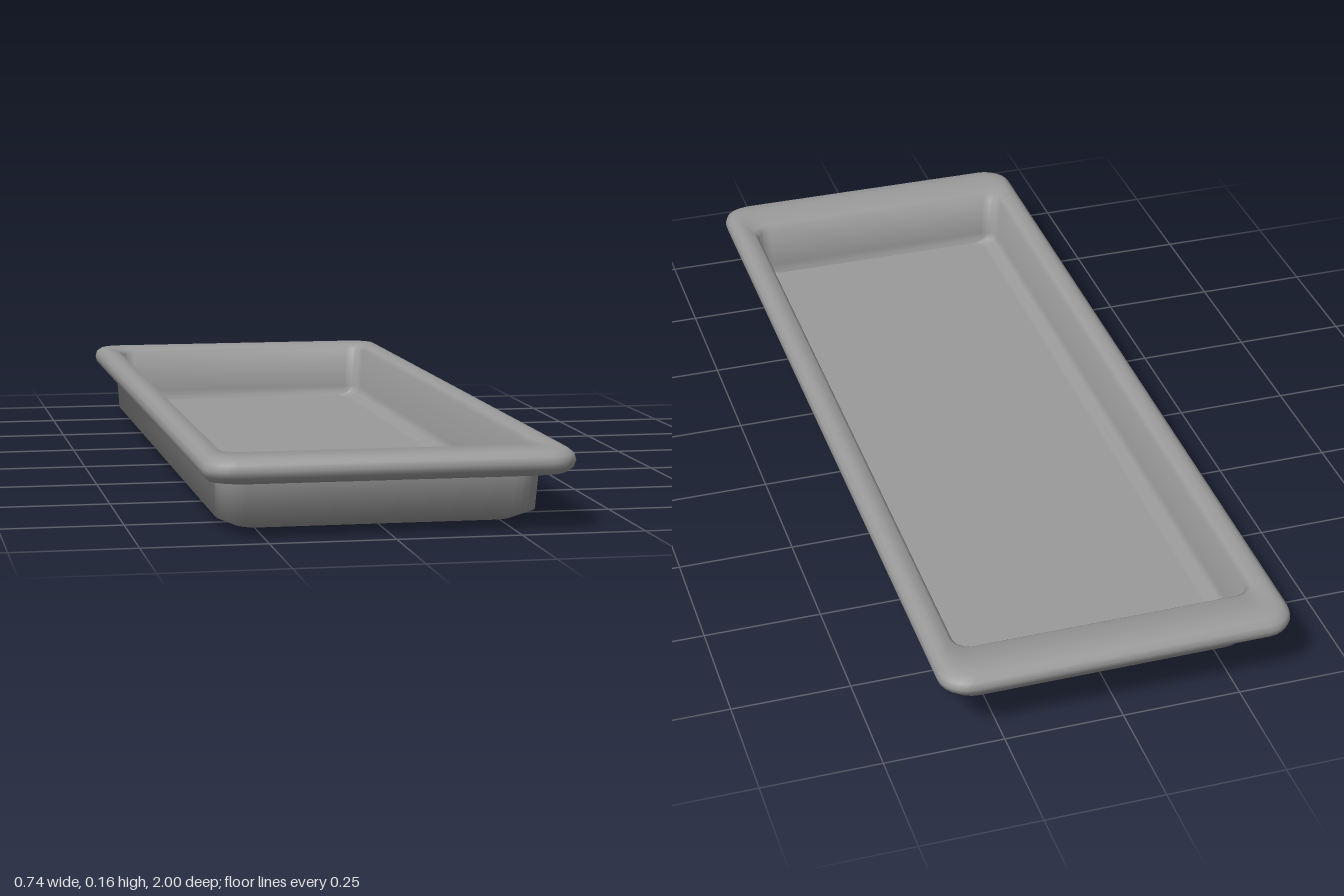
import * as THREE from 'three';
import { toCreasedNormals } from 'three/addons/utils/BufferGeometryUtils.js';

const CORNER_STEPS = 6;

// Rounded rectangle loop: half width, half length, height, corner radius, z offset
function ring([hx, hz, y, r, z0 = 0]) {
  const points = [];
  const corners = [[1, 1], [-1, 1], [-1, -1], [1, -1]];
  corners.forEach(([sx, sz], q) => {
    for (let i = 0; i <= CORNER_STEPS; i++) {
      const a = (q + i / CORNER_STEPS) * Math.PI / 2;
      points.push([sx * (hx - r) + r * Math.cos(a), y, z0 + sz * (hz - r) + r * Math.sin(a)]);
    }
  });
  return points;
}

// Skin a list of loops; the first and last shrink to a point to close the surface
function loft(sections, crease) {
  const rings = sections.map(ring);
  const n = rings[0].length;
  const pos = [];
  for (let i = 0; i < rings.length - 1; i++) {
    for (let j = 0; j < n; j++) {
      const k = (j + 1) % n;
      const a = rings[i][j], b = rings[i][k], c = rings[i + 1][j], d = rings[i + 1][k];
      if (i > 0) pos.push(...a, ...c, ...b);
      if (i < rings.length - 2) pos.push(...b, ...c, ...d);
    }
  }
  const g = new THREE.BufferGeometry();
  g.setAttribute('position', new THREE.Float32BufferAttribute(pos, 3));
  g.computeVertexNormals();
  return toCreasedNormals(g, crease);
}

export function createModel() {
  const group = new THREE.Group();
  group.name = 'tray';
  const material = new THREE.MeshStandardMaterial({ color: 0x9b9b9b });

  const sections = [
    // flat underside
    [0, 0, 0, 0, -0.005],
    [0.275, 0.82, 0, 0.04, -0.005],
    // sloping bottom edge
    [0.285, 0.83, 0, 0.045, -0.005],
    [0.325, 0.874, 0.021, 0.06, -0.005],
    // outer wall
    [0.33, 0.884, 0.104, 0.06, -0.005],
    // overhanging lip: underside, rolled edge, top
    [0.34, 0.95, 0.108, 0.06],
    [0.358, 0.982, 0.114, 0.06],
    [0.369, 0.996, 0.126, 0.06],
    [0.372, 1, 0.139, 0.06],
    [0.369, 0.996, 0.152, 0.06],
    [0.358, 0.982, 0.161, 0.055],
    [0.345, 0.955, 0.163, 0.05],
    [0.322, 0.885, 0.16, 0.04, -0.008],
    // inner wall
    [0.313, 0.87, 0.15, 0.035, -0.01],
    [0.308, 0.868, 0.055, 0.035, -0.01],
    // softened foot of the long sides
    [0.3, 0.867, 0.039, 0.03, -0.01],
    [0.28, 0.865, 0.03, 0.025, -0.01],
    // flat floor
    [0.27, 0.855, 0.03, 0.02, -0.01],
    [0, 0, 0.03, 0, -0.01],
  ];
  const body = new THREE.Mesh(loft(sections, 1.15), material);
  body.name = 'trayBody';
  group.add(body);
  return group;
}
